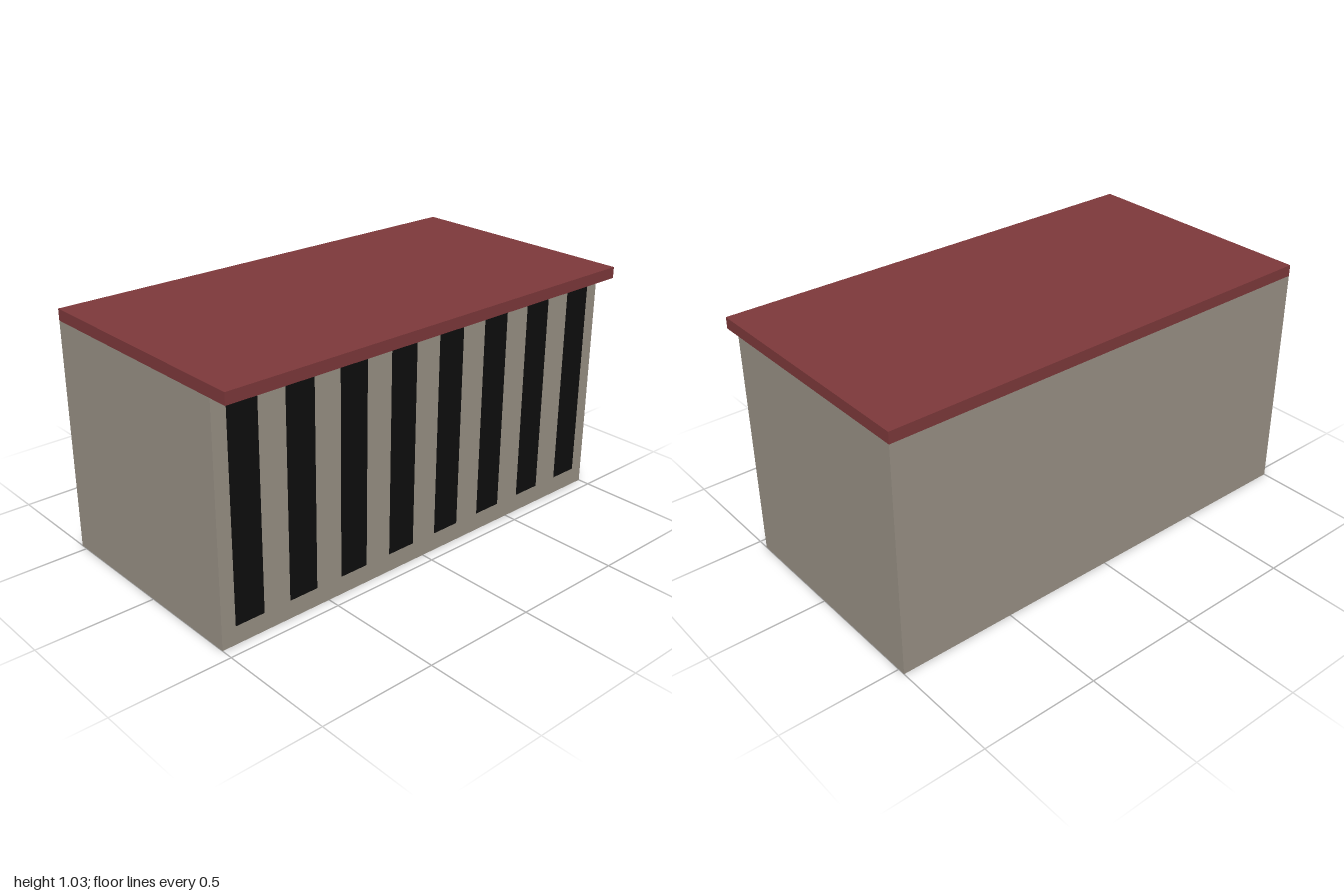
import * as THREE from 'three';

const W0 = -0.533, W1 = 0.448, H = 0.985, TOP = 1.033, SILL = 0.077;

export function createModel() {
  const model = new THREE.Group();
  const wallMat = new THREE.MeshStandardMaterial({ name: 'taupe wall', color: 0x9a9286, side: THREE.DoubleSide });
  const roofMat = new THREE.MeshStandardMaterial({ name: 'dark red roof', color: 0x7e393b });
  const darkMat = new THREE.MeshStandardMaterial({ name: 'black opening', color: 0x0d0d0d, side: THREE.DoubleSide });

  // Flat upright panel, turned about y
  function panel(name, width, y0, y1, x, z, turn, material) {
    const mesh = new THREE.Mesh(new THREE.PlaneGeometry(width, y1 - y0), material);
    mesh.name = name;
    mesh.position.set(x, (y0 + y1) / 2, z);
    mesh.rotation.y = turn;
    model.add(mesh);
  }

  // Plain walls; the shell is open underneath
  const midX = (W0 + W1) / 2;
  panel('frontWall', W1 - W0, 0, H, midX, 1, 0, wallMat);
  panel('backWall', W1 - W0, 0, H, midX, -1, Math.PI, wallMat);
  panel('leftSideWall', 2, 0, H, W0, 0, -Math.PI / 2, wallMat);

  // Slotted wall: sill, then alternating posts and tall dark openings
  const side = Math.PI / 2;
  panel('sill', 2, 0, SILL, W1, 0, side, wallMat);
  const count = 8, pitch = 0.25, slot = 0.13, firstZ = -0.877;
  let edge = -1;
  for (let i = 0; i <= count; i++) {
    const z = firstZ + i * pitch;
    const next = i < count ? z - slot / 2 : 1;
    panel('post', next - edge, SILL, H, W1, (edge + next) / 2, side, wallMat);
    if (i < count) panel('opening', slot, SILL, H, W1, z, side, darkMat);
    edge = z + slot / 2;
  }

  // Roof slab overhanging the slotted side
  const roof = new THREE.Mesh(new THREE.BoxGeometry(-2 * W0, TOP - H, 2), roofMat);
  roof.name = 'roof';
  roof.position.y = (H + TOP) / 2;
  model.add(roof);

  return model;
}
